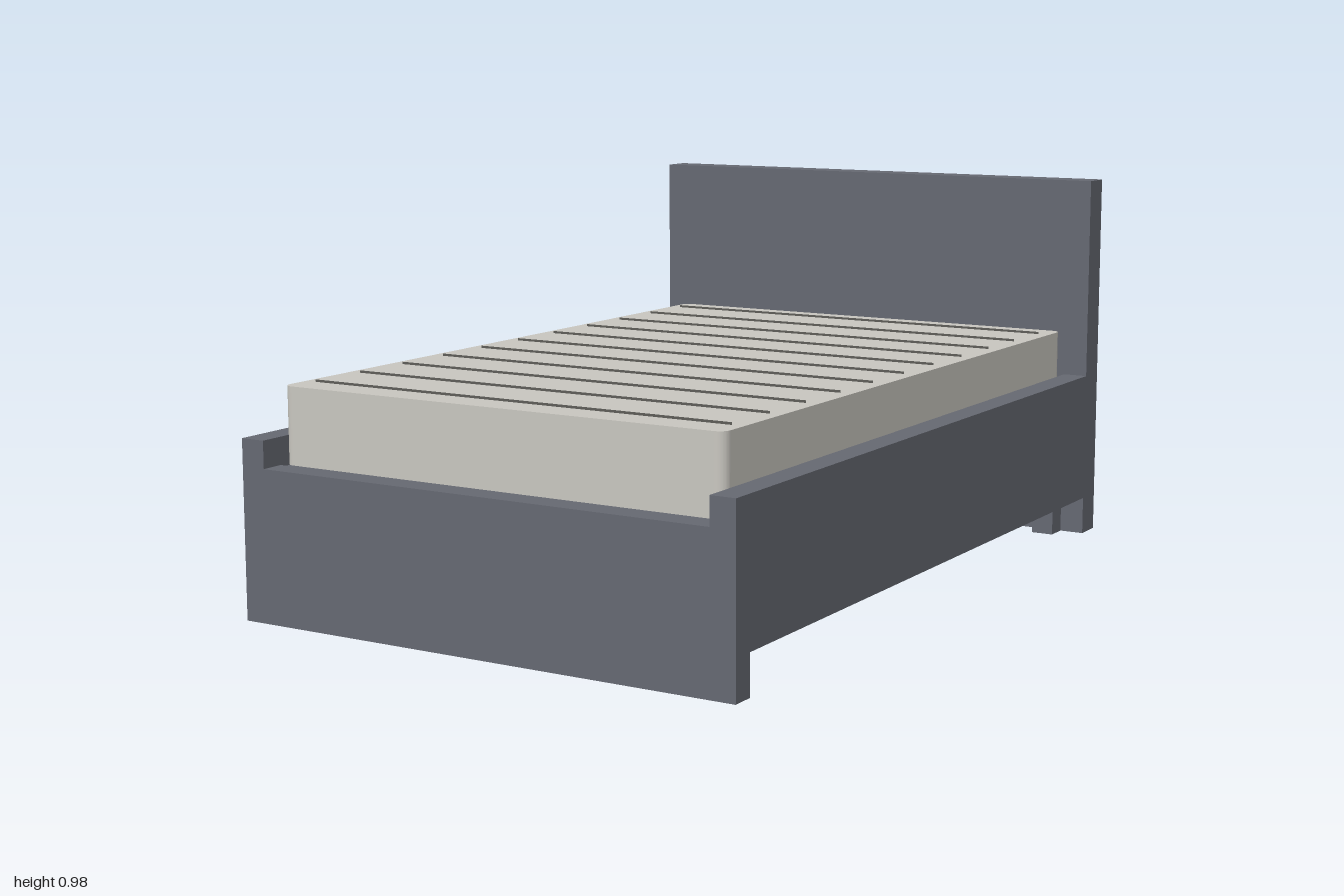
import * as THREE from 'three';

export function createModel() {
  const bed = new THREE.Group();
  bed.name = 'bed';

  const frameGrey = new THREE.MeshStandardMaterial({ color: 0x666972 });
  frameGrey.name = 'frame grey';
  const mattressCream = new THREE.MeshStandardMaterial({ color: 0xc9c7c0 });
  mattressCream.name = 'mattress cream';
  const seamGrey = new THREE.MeshStandardMaterial({ color: 0x5e5d59, side: THREE.DoubleSide });
  seamGrey.name = 'seam grey';

  const add = (name, geometry, material) => {
    const mesh = new THREE.Mesh(geometry, material);
    mesh.name = name;
    bed.add(mesh);
    return mesh;
  };
  // Box given by its lower and upper corners
  const box = (name, [x0, y0, z0], [x1, y1, z1]) =>
    add(name, new THREE.BoxGeometry(x1 - x0, y1 - y0, z1 - z0), frameGrey)
      .position.set((x0 + x1) / 2, (y0 + y1) / 2, (z0 + z1) / 2);

  const W = 0.675, inner = 0.61, railTop = 0.443, deck = 0.375, clearance = 0.1;
  const headZ = -0.92, footZ = 0.94;

  // Headboard and closed base
  box('headboard', [-W, 0, -1], [W, 0.98, headZ]);
  box('base', [-inner, clearance, headZ], [inner, deck - 0.005, footZ]);

  // Footboard with a notch for the mattress
  const foot = new THREE.Shape([
    [-W, 0], [W, 0], [W, railTop], [inner, railTop],
    [inner, deck], [-inner, deck], [-inner, railTop], [-W, railTop],
  ].map(([x, y]) => new THREE.Vector2(x, y)));
  add('footboard', new THREE.ExtrudeGeometry(foot, { depth: 1 - footZ, bevelEnabled: false }), frameGrey)
    .position.z = footZ;

  // Side rails and legs, mirrored
  for (const [side, s] of [['left', 1], ['right', -1]]) {
    const span = (a, b) => (s > 0 ? [a, b] : [-b, -a]);
    const [r0, r1] = span(inner, W);
    box(side + 'Rail', [r0, clearance, headZ], [r1, railTop, footZ]);
    const [l0, l1] = span(0.55, 0.61);
    box(side + 'FrontLeg', [l0, 0, 0.865], [l1, clearance, 0.925]);
    box(side + 'BackLeg', [l0, 0, headZ], [l1, clearance, -0.86]);
  }

  // Mattress: rounded rectangle pulled upward
  const hw = 0.605, hl = 0.915, r = 0.025, midZ = 0.015, top = 0.565;
  const plan = new THREE.Shape();
  plan.absarc(hw - r, hl - r, r, 0, Math.PI / 2);
  plan.absarc(r - hw, hl - r, r, Math.PI / 2, Math.PI);
  plan.absarc(r - hw, r - hl, r, Math.PI, Math.PI * 1.5);
  plan.absarc(hw - r, r - hl, r, Math.PI * 1.5, Math.PI * 2);
  plan.closePath();
  const mattressGeometry = new THREE.ExtrudeGeometry(plan, {
    depth: top - deck, bevelEnabled: false, curveSegments: 6,
  });
  mattressGeometry.rotateX(-Math.PI / 2);
  add('mattress', mattressGeometry, mattressCream).position.set(0, deck, midZ);

  // Upright seams across the mattress top
  const seams = 11, pitch = (2 * hl) / seams;
  const seamGeometry = new THREE.PlaneGeometry(1.15, 0.006);
  for (let i = 0; i < seams; i++) {
    add('mattressSeam', seamGeometry, seamGrey)
      .position.set(0, top + 0.003, midZ + (i - (seams - 1) / 2) * pitch);
  }

  return bed;
}
